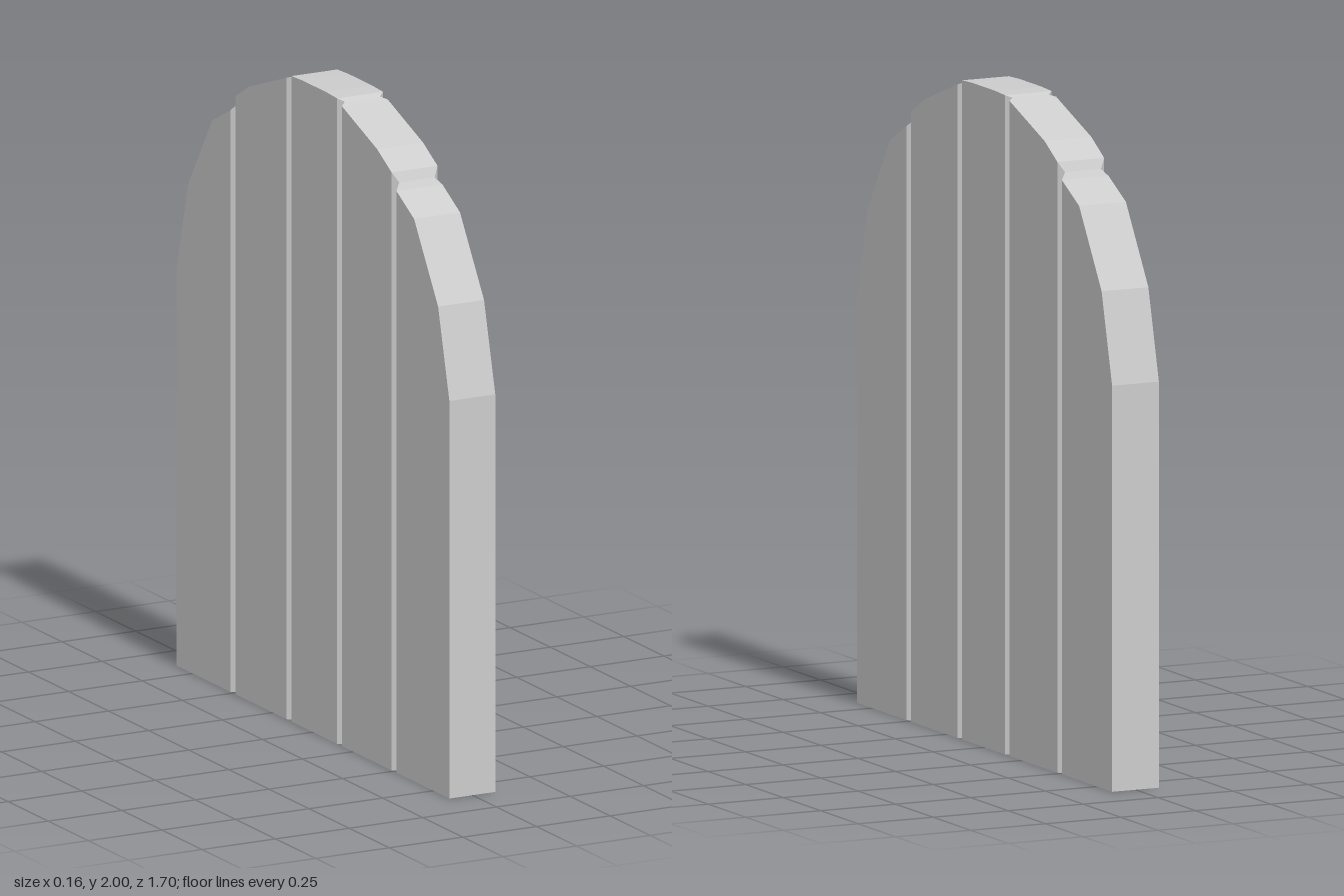
import * as THREE from 'three';

const HALF = 0.078;   // half thickness of the planks
const GROOVE = 0.06;  // half thickness at the bottom of a V groove

// Upright slices from front to back: [z, top height, half thickness]
const slices = [
  [0.85, 1.23, HALF], [0.78, 1.505, HALF], [0.63, 1.74, HALF],
  [0.52, 1.8, HALF], [0.505, 1.82, GROOVE], [0.49, 1.85, HALF],
  [0.4, 1.9, HALF],
  [0.18, 1.98, HALF], [0.165, 1.988, GROOVE], [0.15, 1.997, HALF],
  [0.08, 2, HALF], [-0.07, 2, HALF],
  [-0.135, 1.997, HALF], [-0.15, 1.99, GROOVE], [-0.165, 1.985, HALF],
  [-0.4, 1.9, HALF],
  [-0.485, 1.85, HALF], [-0.5, 1.82, GROOVE], [-0.515, 1.8, HALF],
  [-0.63, 1.74, HALF], [-0.78, 1.505, HALF], [-0.85, 1.23, HALF],
];

// Joins four-cornered slices into a closed solid
function loftSlices(list) {
  const rings = list.map(([z, h, w]) => [[w, 0, z], [w, h, z], [-w, h, z], [-w, 0, z]]);
  const positions = [];
  const quad = (a, b, c, d) => positions.push(...a, ...b, ...c, ...a, ...c, ...d);
  for (let i = 0; i < rings.length - 1; i++) {
    for (let j = 0; j < 4; j++) {
      const k = (j + 1) % 4;
      quad(rings[i][j], rings[i + 1][j], rings[i + 1][k], rings[i][k]);
    }
  }
  // End caps
  quad(...rings[0]);
  quad(...rings[rings.length - 1].slice().reverse());
  const geometry = new THREE.BufferGeometry();
  geometry.setAttribute('position', new THREE.Float32BufferAttribute(positions, 3));
  geometry.computeVertexNormals();
  return geometry;
}

export function createModel() {
  const group = new THREE.Group();
  group.name = 'archedPlankDoor';
  const material = new THREE.MeshStandardMaterial({ color: 0xcccccc, flatShading: true });
  // Arched slab with V grooves marking the planks on both faces
  const door = new THREE.Mesh(loftSlices(slices), material);
  door.name = 'groovedDoorPanel';
  group.add(door);
  return group;
}
